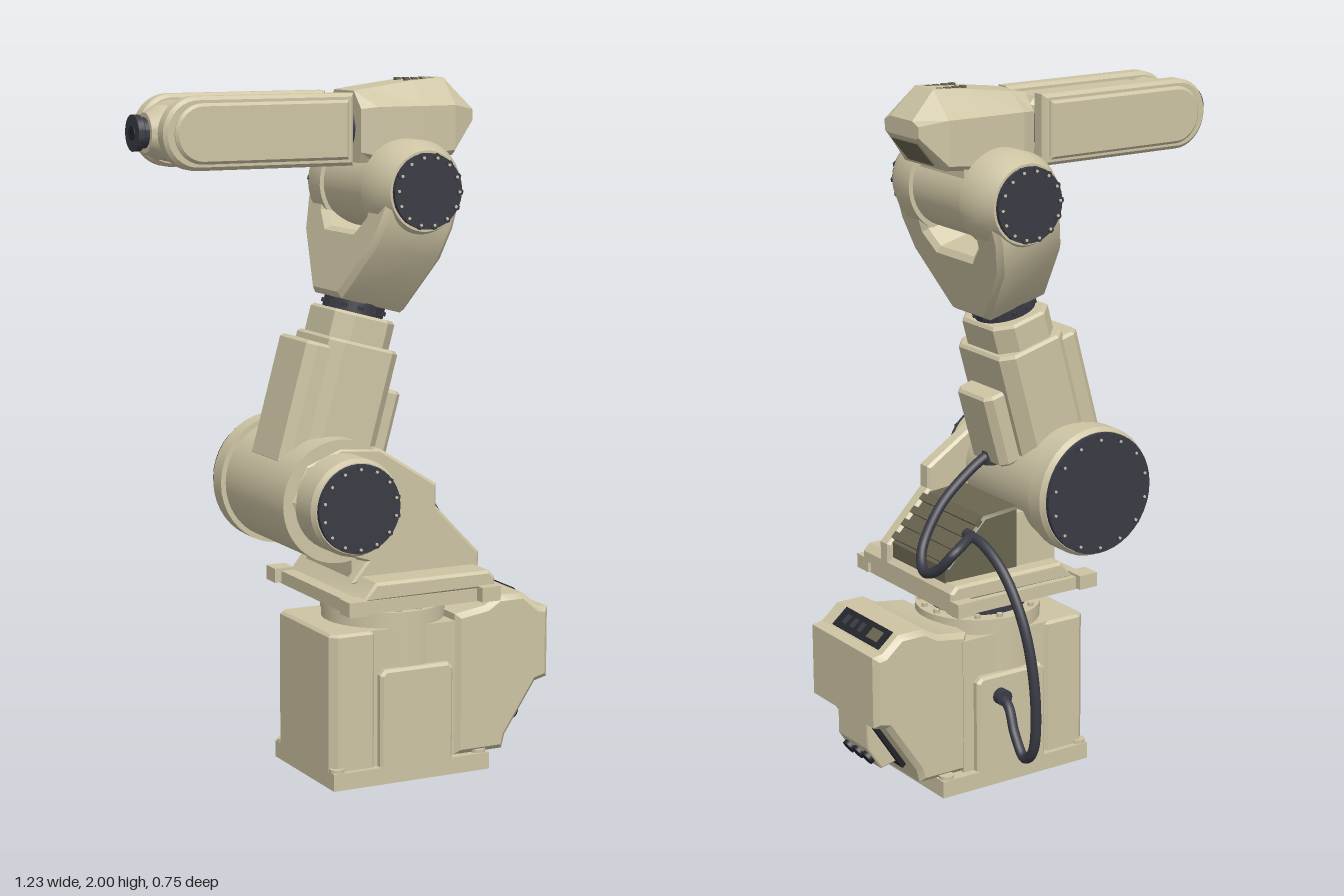
import * as THREE from 'three';
import { toCreasedNormals, mergeGeometries } from 'three/addons/utils/BufferGeometryUtils.js';

const mat = (name, color) => Object.assign(new THREE.MeshStandardMaterial({ color }), { name });
const C = 0.045; // z of the machine's centre plane

export function createModel() {
  const beige = mat('beige paint', 0xcdc4a4);
  const dark = mat('charcoal', 0x3a3a45);
  const olive = mat('dark olive', 0x6a6550);
  const black = mat('black', 0x24252c);

  const root = new THREE.Group();
  root.name = 'robotArm';
  const group = (name, parent = root) => {
    const g = new THREE.Group();
    g.name = name;
    parent.add(g);
    return g;
  };
  const add = (parent, name, geo, m, x = 0, y = 0, z = 0) => {
    const mesh = new THREE.Mesh(geo, m);
    mesh.name = name;
    mesh.position.set(x, y, z);
    parent.add(mesh);
    return mesh;
  };
  // box given by its limits
  const box = (p, name, m, x0, x1, y0, y1, z0, z1) =>
    add(p, name, new THREE.BoxGeometry(x1 - x0, y1 - y0, z1 - z0), m, (x0 + x1) / 2, (y0 + y1) / 2, (z0 + z1) / 2);
  // bevelled extrusion centred on its depth
  const ext = (outline, depth, b = 0.008) => {
    const shape = Array.isArray(outline) ? new THREE.Shape(outline.map(([x, y]) => new THREE.Vector2(x, y))) : outline;
    const g = new THREE.ExtrudeGeometry(shape, {
      depth: depth - 2 * b, bevelEnabled: b > 0, bevelSize: b, bevelThickness: b, bevelOffset: -b, bevelSegments: 1, curveSegments: 20,
    });
    g.translate(0, 0, b - depth / 2);
    return toCreasedNormals(g, 0.5);
  };
  const cylY = (r, h, n = 40) => new THREE.CylinderGeometry(r, r, h, n);
  const cylZ = (r, h, n = 40) => cylY(r, h, n).rotateX(Math.PI / 2);
  const cylX = (r, h, n = 40) => cylY(r, h, n).rotateZ(Math.PI / 2);
  const lathe = (pts) => toCreasedNormals(new THREE.LatheGeometry(pts.map(([r, y]) => new THREE.Vector2(r, y)), 40), 0.5);
  // rectangle with cut corners
  const cutRect = (x0, x1, y0, y1, c) => [
    [x0 + c, y0], [x1 - c, y0], [x1, y0 + c], [x1, y1 - c], [x1 - c, y1], [x0 + c, y1], [x0, y1 - c], [x0, y0 + c]];
  // ring of small bolts around the z axis
  const boltRing = (r, n, size, h) => mergeGeometries(Array.from({ length: n }, (_, i) => {
    const a = (i + 0.5) / n * Math.PI * 2;
    return cylZ(size, h, 6).translate(r * Math.cos(a), r * Math.sin(a), 0);
  }));
  // dark bolted cover; s is the side it faces along z
  const cover = (p, name, x, y, z, r, s) => {
    const g = group(name, p);
    g.position.set(x, y, z);
    add(g, 'disc', cylZ(r, 0.016), dark);
    add(g, 'bolts', boltRing(r * 0.93, 14, 0.01, 0.014), dark, 0, 0, s * 0.006);
    add(g, 'boltHeads', boltRing(r * 0.9, 14, 0.0045, 0.004), beige, 0, 0, s * 0.014);
  };

  // ---- base ----
  const base = group('base');
  box(base, 'footPlate', beige, -0.1, 0.405, 0, 0.05, C - 0.195, C + 0.195);
  for (const s of [-1, 1]) for (const x of [-0.08, 0.38])
    add(base, 'footLug', cylY(0.022, 0.012, 16), beige, x, 0.054, C + s * 0.172);
  add(base, 'frontBlock', ext(cutRect(-0.1, 0.05, C - 0.18, C + 0.18, 0.02), 0.42).rotateX(Math.PI / 2).scale(1, 1, 1), beige, 0, 0.24, 0);
  add(base, 'pedestal', cylY(0.18, 0.46, 48), beige, 0.155, 0.25, C);
  box(base, 'pedestalCore', beige, -0.02, 0.32, 0.04, 0.45, C - 0.172, C + 0.172);
  add(base, 'sidePanels', ext([[0.05, 0.01], [0.285, 0.01], [0.285, 0.32], [0.27, 0.335], [0.065, 0.335], [0.05, 0.32]], 0.39), beige, 0, 0, C);
  add(base, 'topRing', cylY(0.182, 0.02, 48), beige, 0.155, 0.485, C);
  add(base, 'topRingBolts', boltRing(0.165, 16, 0.009, 0.012).rotateX(Math.PI / 2), beige, 0.155, 0.5, C);
  add(base, 'rearHousing', ext([[0.3, 0.05], [0.46, 0.05], [0.47, 0.09], [0.57, 0.24], [0.61, 0.25], [0.61, 0.46],
    [0.578, 0.465], [0.525, 0.51], [0.44, 0.51], [0.4, 0.485], [0.3, 0.47]], 0.355, 0.015), beige, 0, 0, C + 0.008);

  // connector bay and status panel on the rear housing
  add(base, 'connectorFrame', ext([[0.465, 0.09], [0.48, 0.078], [0.582, 0.235], [0.57, 0.245]], 0.195, 0), black, 0, 0, C);
  add(base, 'connectorBlock', ext([[0.47, 0.1], [0.54, 0.085], [0.585, 0.155], [0.585, 0.24], [0.56, 0.24]], 0.16, 0.004), beige, 0, 0, C);
  for (const i of [-1, 0, 1]) {
    const plug = add(base, 'connector', cylX(0.021, 0.02, 20), black, 0.563, 0.118, C + i * 0.05);
    plug.rotation.z = -0.57;
  }
  const panel = group('statusPanel', base);
  panel.position.set(0.549, 0.489, C - 0.007);
  panel.rotation.z = -0.7;
  add(panel, 'plate', new THREE.BoxGeometry(0.064, 0.009, 0.245), black);
  add(panel, 'display', new THREE.BoxGeometry(0.034, 0.006, 0.055), olive, 0, 0.004, -0.07);
  for (let i = 0; i < 3; i++) add(panel, 'key', new THREE.BoxGeometry(0.03, 0.006, 0.02), dark, 0, 0.004, i * 0.04);

  // ---- turret ----
  const turret = group('turret');
  add(turret, 'bearing', cylY(0.14, 0.05, 48), dark, 0.155, 0.515, C);
  box(turret, 'lowerPlate', beige, -0.1, 0.35, 0.535, 0.572, -0.145, 0.345);
  for (const x of [-0.12, 0.3]) for (const z of [-0.165, 0.315]) box(turret, 'tab', beige, x, x + 0.06, 0.538, 0.58, z, z + 0.06);
  add(turret, 'upperPlate', ext([[-0.06, 0.57], [0.36, 0.57], [0.36, 0.6], [0.34, 0.62], [-0.02, 0.62]], 0.475), beige, 0, 0, 0.107);
  add(turret, 'plateSlots', ext([[-0.01, 0.585], [0.14, 0.585], [0.16, 0.61], [0.01, 0.61]], 0.479, 0), beige, 0, 0, 0.107);
  const cheek = [[-0.085, 0.99], [0.04, 0.98], [0.22, 0.865], [0.22, 0.8], [0.36, 0.655], [0.36, 0.6], [-0.05, 0.6], [0, 0.66], [-0.1, 0.69], [-0.2, 0.76], [-0.235, 0.85], [-0.19, 0.95]];
  add(turret, 'cheek', ext(cheek, 0.05), beige, 0, 0, 0.225);
  box(turret, 'support', beige, -0.03, 0.24, 0.6, 0.78, -0.08, 0.21);
  add(turret, 'motorBox', ext([[0.1, 0.61], [0.345, 0.61], [0.345, 0.66], [0.215, 0.79], [0.1, 0.8]], 0.295), olive, 0, 0, 0.063);
  for (let i = 0; i < 4; i++) {
    const rib = add(turret, 'coolingRib', new THREE.BoxGeometry(0.022, 0.018, 0.29), olive, 0.235 + i * 0.032, 0.775 - i * 0.033, 0.063);
    rib.rotation.z = -0.8;
  }

  // ---- shoulder ----
  const shoulder = group('shoulder');
  shoulder.position.set(-0.085, 0.84, 0);
  add(shoulder, 'hub', cylZ(0.175, 0.39, 56), beige, 0, 0, 0.05);
  add(shoulder, 'largeDrum', lathe([[0, 0], [0.19, 0], [0.19, 0.055], [0.18, 0.07], [0, 0.07]]).rotateX(-Math.PI / 2), beige, 0, 0, -0.14);
  cover(shoulder, 'largeCover', 0, 0, -0.215, 0.178, -1);
  add(shoulder, 'smallDrum', lathe([[0, 0], [0.138, 0], [0.138, 0.1], [0.128, 0.115], [0, 0.115]]).rotateX(Math.PI / 2), beige, 0, 0, 0.24);
  cover(shoulder, 'smallCover', 0, 0, 0.361, 0.125, 1);

  // ---- upper arm, built upright and then tilted ----
  const arm = group('upperArm');
  arm.position.set(-0.085, 0.84, 0.05);
  arm.rotation.z = -0.267;
  const column = (name, x0, x1, hz, cut, y0, y1) =>
    add(arm, name, ext(cutRect(x0, x1, -hz, hz, cut), y1 - y0).rotateX(-Math.PI / 2), beige, 0, (y0 + y1) / 2, 0);
  column('link', -0.105, 0.118, 0.137, 0.035, 0, 0.44);
  column('linkNeck', -0.095, 0.1, 0.122, 0.045, 0.4, 0.52);
  column('frontShell', -0.163, 0, 0.11, 0.025, 0.06, 0.415);
  column('rearPod', 0.05, 0.177, 0.085, 0.02, 0.11, 0.33);
  add(arm, 'rollBearing', cylY(0.088, 0.05), dark, 0, 0.535, 0);
  add(arm, 'rollBolts', boltRing(0.088, 12, 0.008, 0.012).rotateX(Math.PI / 2), dark, 0, 0.535, 0);

  // elbow fork
  const half = [[0.085, 0.55], [0.22, 0.715], [0.25, 0.81], [0.25, 0.891], [0.135, 0.891], [0.13, 0.79], [0.085, 0.745]];
  const fork = [...half, ...half.slice().reverse().map(([z, y]) => [-z, y])];
  add(arm, 'fork', ext(fork, 0.22, 0.015).rotateY(Math.PI / 2), beige, 0.008, 0, 0);
  for (const s of [-1, 1]) {
    add(arm, 'elbowDrum', lathe([[0, 0], [0.138, 0], [0.138, 0.075], [0.112, 0.128], [0, 0.128]]).rotateX(s * Math.PI / 2), beige, 0, 0.891, s * 0.128);
    cover(arm, 'elbowCover', 0, 0.891, s * 0.26, 0.105, s);
  }

  // ---- elbow body and head ----
  const head = group('elbowHead');
  add(head, 'elbowBody', cylZ(0.125, 0.262, 48), beige, 0.15, 1.7, 0.05);
  box(head, 'headNeck', beige, 0.06, 0.26, 1.7, 1.85, -0.06, 0.16);
  // stations: x, bottom, side bottom, side top, top, half width, top half width
  const rings = [
    [0.025, 1.77, 1.8, 1.92, 1.968, 0.105, 0.06], [0.07, 1.77, 1.79, 1.925, 1.975, 0.123, 0.06],
    [0.21, 1.775, 1.79, 1.925, 1.993, 0.123, 0.055], [0.315, 1.785, 1.8, 1.925, 2, 0.12, 0.045],
    [0.39, 1.875, 1.88, 1.91, 1.922, 0.085, 0.055],
  ].map(([x, b, m, s, t, w, wt]) => [[t, -wt], [t, wt], [s, w], [m, w], [b, w * 0.85], [b, -w * 0.85], [m, -w], [s, -w]].map(([y, z]) => [x, y, z]));
  const v = [];
  const last = rings[rings.length - 1];
  for (let j = 0; j < 8; j++) {
    const k = (j + 1) % 8;
    for (let i = 0; i < rings.length - 1; i++) {
      const [a, b, c, d] = [rings[i][j], rings[i][k], rings[i + 1][k], rings[i + 1][j]];
      v.push(...a, ...b, ...c, ...a, ...c, ...d);
    }
    v.push(...rings[0][0], ...rings[0][k], ...rings[0][j], ...last[0], ...last[j], ...last[k]);
  }
  const shell = new THREE.BufferGeometry();
  shell.setAttribute('position', new THREE.Float32BufferAttribute(v, 3));
  shell.computeVertexNormals();
  add(head, 'headShell', shell, beige, 0, 0, 0.05);
  const recess = add(head, 'rearRecess', new THREE.BoxGeometry(0.085, 0.006, 0.13), olive, 0.353, 1.829, 0.05);
  recess.rotation.z = 0.876;
  for (let i = 0; i < 4; i++) for (const s of [-1, 1])
    box(head, 'vent', olive, 0.2 + i * 0.026, 0.216 + i * 0.026, 1.985, 1.999, 0.043 + s * 0.028, 0.057 + s * 0.028);

  // ---- forearm ----
  const forearm = group('forearm');
  add(forearm, 'wristBearing', cylX(0.07, 0.05), dark, 0.015, 1.865, 0.05);
  const stadium = (x0, x1, r) => {
    const s = new THREE.Shape();
    s.moveTo(x1, 1.865 - r);
    s.lineTo(x1, 1.865 + r);
    s.absarc(x0 + r, 1.865, r, Math.PI / 2, Math.PI * 1.5, false);
    return s;
  };
  for (const s of [-1, 1]) {
    add(forearm, 'sideArm', ext(stadium(-0.57, 0, 0.1), 0.055, 0.01), beige, 0, 0, 0.05 + s * 0.088);
    add(forearm, 'sideCover', ext(stadium(-0.54, -0.02, 0.082), 0.02, 0.008), beige, 0, 0, 0.05 + s * 0.117);
  }
  add(forearm, 'centreBeam', ext(cutRect(-0.43, 0, 1.78, 1.95, 0.02), 0.118, 0.012), beige, 0, 0, 0.05);
  add(forearm, 'wristDrum', cylZ(0.085, 0.14), beige, -0.475, 1.865, 0.05);
  add(forearm, 'wristNose', lathe([[0, 0], [0.075, 0], [0.075, 0.05], [0.055, 0.085], [0, 0.085]]).rotateZ(Math.PI / 2), beige, -0.495, 1.865, 0.05);
  add(forearm, 'toolFlange', lathe([[0, 0], [0.042, 0], [0.042, 0.015], [0.05, 0.02], [0.05, 0.038], [0, 0.038]]).rotateZ(Math.PI / 2), dark, -0.577, 1.865, 0.05);
  add(forearm, 'flangeBore', cylX(0.02, 0.006, 20), black, -0.614, 1.865, 0.05);

  // ---- cables ----
  const cables = group('cables');
  const cable = (name, pts) => add(cables, name, new THREE.TubeGeometry(
    new THREE.CatmullRomCurve3(pts.map((p) => new THREE.Vector3(...p))), 80, 0.015, 10), dark);
  cable('armCable', [[0.1, 0.93, 0.05], [0.17, 0.89, 0.05], [0.28, 0.8, 0.045], [0.36, 0.69, 0.02], [0.385, 0.645, -0.03], [0.38, 0.665, -0.09], [0.355, 0.72, -0.135], [0.29, 0.745, -0.11], [0.25, 0.74, -0.07]]);
  cable('baseCable', [[0.27, 0.75, -0.07], [0.265, 0.735, -0.15], [0.255, 0.67, -0.24], [0.245, 0.53, -0.325], [0.235, 0.33, -0.362], [0.232, 0.17, -0.345], [0.23, 0.135, -0.3], [0.225, 0.19, -0.245], [0.215, 0.255, -0.2], [0.21, 0.27, -0.14]]);
  add(cables, 'armPlug', cylY(0.024, 0.04, 16), dark, 0.105, 0.915, 0.05);
  add(cables, 'basePlug', cylZ(0.024, 0.035, 16), dark, 0.21, 0.27, -0.16);
  return root;
}
